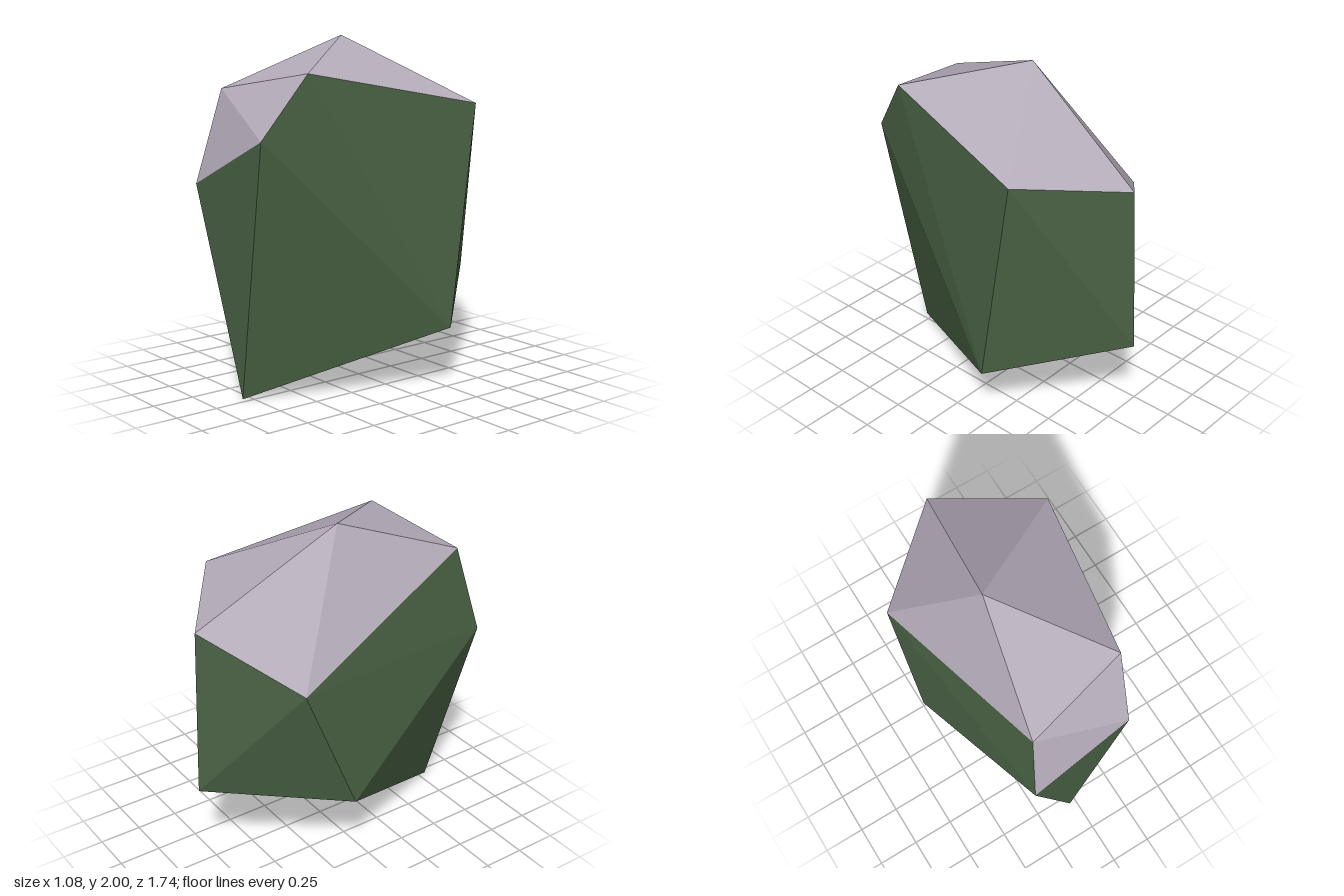
import * as THREE from 'three';

// Corner points of the faceted rock
const P = {
  peak: [-0.16, 2.0, 0.0],
  topR: [0.31, 1.83, 0.59], topL: [-0.31, 1.72, 0.73],
  browL: [-0.37, 1.19, 0.87], browR: [0.23, 1.48, 0.84],
  sideR: [0.52, 1.63, -0.43], sideL: [-0.53, 1.25, -0.46],
  back: [-0.03, 1.53, -0.83],
  toe: [-0.04, 0, 0.8], footR: [0.54, 0.36, -0.24],
  footL: [-0.54, 0.45, -0.13], heel: [-0.05, 0.54, -0.87],
};

// Facets of each coloured region
const cap = [
  'peak topL topR', 'peak topR sideR', 'peak sideR back', 'peak back sideL', 'peak sideL topL',
  'topL browL browR', 'topL browR topR',
];
const sides = [
  'browL toe browR', 'browR toe footR', 'browR footR topR', 'topR footR sideR',
  'sideR footR heel', 'sideR heel back', 'back heel sideL', 'sideL heel footL',
  'sideL footL browL', 'sideL browL topL', 'browL footL toe',
];
const base = ['toe heel footR', 'toe footL heel'];

// Builds a facet mesh, turning every triangle away from the rock's centre
function facets(name, faces, material) {
  const centre = new THREE.Vector3(0, 1, 0);
  const points = [];
  for (const face of faces) {
    const [a, b, c] = face.split(' ').map((k) => new THREE.Vector3(...P[k]));
    const normal = b.clone().sub(a).cross(c.clone().sub(a));
    const outward = normal.dot(a.clone().sub(centre)) > 0;
    points.push(...(outward ? [a, b, c] : [a, c, b]));
  }
  const geometry = new THREE.BufferGeometry().setFromPoints(points);
  geometry.computeVertexNormals();
  const mesh = new THREE.Mesh(geometry, material);
  mesh.name = name;
  return mesh;
}

function paint(name, color) {
  const material = new THREE.MeshStandardMaterial({ color });
  material.name = name;
  return material;
}

export function createModel() {
  const rock = new THREE.Group();
  rock.name = 'rock';
  rock.add(
    facets('rockCap', cap, paint('pale lilac stone', 0xb5acba)),
    facets('rockSides', sides, paint('moss green', 0x4a6244)),
    facets('rockBase', base, paint('dark brown earth', 0x5a3d39)),
  );
  return rock;
}
